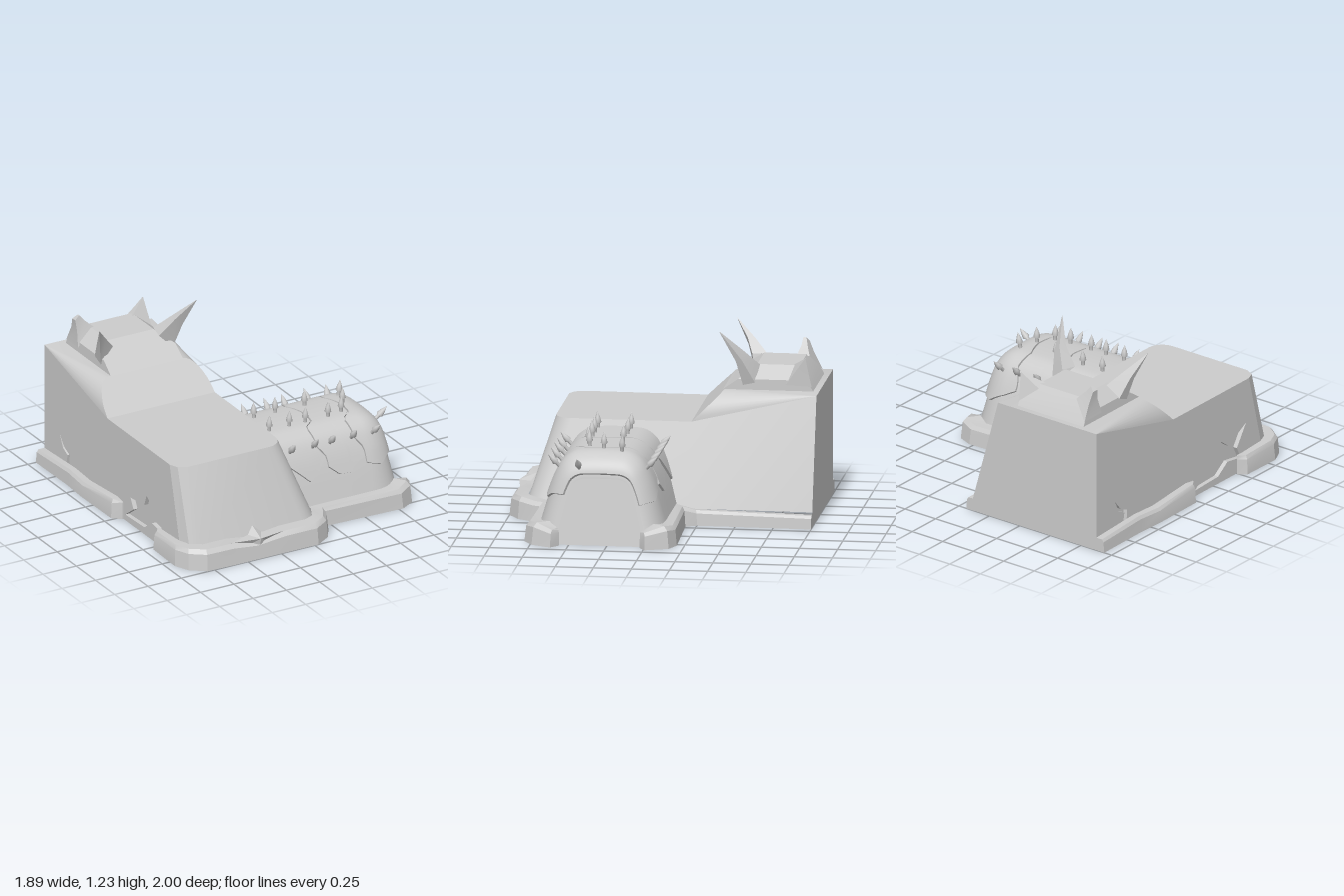
import * as THREE from 'three';
import { toCreasedNormals } from 'three/addons/utils/BufferGeometryUtils.js';

const material = new THREE.MeshStandardMaterial({ color: 0xcccccc, side: THREE.DoubleSide });
const V = (x, y, z) => new THREE.Vector3(x, y, z);
const lerp = THREE.MathUtils.lerp;

// Piecewise linear lookup in [[x, y], ...]
function lookup(table, x) {
  for (let i = 1; i < table.length; i++) {
    const [a, b] = [table[i - 1], table[i]];
    if (x <= b[0]) return lerp(a[1], b[1], (x - a[0]) / (b[0] - a[0]));
  }
  return table[table.length - 1][1];
}

function build(tris, crease = 0.6) {
  const g = new THREE.BufferGeometry().setFromPoints(tris);
  return toCreasedNormals(g, crease);
}
// Skin between rows of equal length
function skin(rows) {
  const t = [];
  for (let i = 0; i + 1 < rows.length; i++) {
    for (let j = 0; j + 1 < rows[i].length; j++) {
      const [a, b, c, d] = [rows[i][j], rows[i][j + 1], rows[i + 1][j + 1], rows[i + 1][j]];
      if (a.distanceTo(b) > 1e-6) t.push(a, b, c);
      if (c.distanceTo(d) > 1e-6) t.push(a, c, d);
    }
  }
  return t;
}
function fan(pts) {
  const t = [];
  for (let i = 1; i + 1 < pts.length; i++) t.push(pts[0], pts[i], pts[i + 1]);
  return t;
}

// Rounded wing hall: arch cross-section that rolls over into a smaller end arch
const half = [[0.41, 0.12], [0.355, 0.3], [0.305, 0.43], [0.25, 0.52], [0.18, 0.567], [0.09, 0.58]];
const halfEnd = [[0.29, 0], [0.235, 0.24], [0.205, 0.34], [0.175, 0.4], [0.13, 0.425], [0.06, 0.43]];
const archCurve = (h) => new THREE.CatmullRomCurve3(
  [...h.map(([w, y]) => V(0, y, w)), ...h.slice().reverse().map(([w, y]) => V(0, y, -w))]);
const fullArch = archCurve(half), endArch = archCurve(halfEnd);
const ROLL = 0.62, END = 0.8;
function wingPoint(s, i, off = 0) {
  const t = THREE.MathUtils.clamp(i / 11, 0, 1);
  const p = fullArch.getPoint(t), e = endArch.getPoint(t);
  let x = s;
  if (s > ROLL) {
    const a = Math.min((s - ROLL) / (END - ROLL), 1) * Math.PI / 2;
    p.lerp(e, 1 - Math.cos(a));
    x = lerp(ROLL, 0.85 - 0.16 * e.y, Math.sin(a)) + off * Math.sin(a);
  }
  return V(x, p.y * (1 + off * 1.8), 0.3 + p.z * (1 + off * 2.5));
}

// Crack lines across the wing and the ragged hem of its armour
const zig = [[0, 0.03], [1.8, 0.02], [2.4, -0.03], [4, -0.05], [4.6, 0.02], [5.5, 0.03], [6.5, -0.02], [8, 0], [9, -0.04], [11, -0.03]];
const plates = [
  { from: -0.05, to: 0.28, hem: [[0, 2.2], [0.6, 0.85], [0.78, 1.1], [1, 1.8]] },
  { from: 0.28, to: 0.56, hem: [[0, 1.3], [0.25, 0.9], [0.6, 0.87], [0.68, 1.1], [1, 1.4]] },
  { from: 0.56, to: 0.78, hem: [[0, 1.1], [0.4, 0.9], [0.6, 1.2], [1, 1.6]] },
];
function armourPlate({ from, to, hem }) {
  const rows = [], M = 18, N = 30, clamp = THREE.MathUtils.clamp;
  for (let m = -1; m <= M + 1; m++) {
    const u = clamp(m / M, 0, 1), row = [];
    for (let n = -1; n <= N + 1; n++) {
      const i = lerp(lookup(hem, u), 11 - lookup(hem, 1 - u), clamp(n / N, 0, 1));
      const a = from < 0 ? from : from + lookup(zig, i) + 0.006;
      const b = to > 0.7 ? to : to + lookup(zig, i) - 0.006;
      const rim = m < 0 || n < 0 || m > M || n > N;
      row.push(wingPoint(lerp(a, b, u), i, rim ? -0.004 : 0.014));
    }
    rows.push(row);
  }
  return build(skin(rows), 0.7);
}

// Plinth run: entries are [outer x, outer z, inner x, inner z, height]
function plinthRun(run) {
  const cols = run.map(([ox, oz, ix, iz, h]) => [
    V(ox, 0, oz), V(lerp(ox, ix, 0.1), h * 0.8, lerp(oz, iz, 0.1)),
    V(lerp(ox, ix, 0.3), h, lerp(oz, iz, 0.3)), V(ix, h, iz)]);
  const tris = skin(cols);
  for (const k of [0, run.length - 1]) {
    tris.push(...fan([...cols[k], V(run[k][2], 0, run[k][3])]));
  }
  return build(tris, 0.4);
}

// Curved horn from a base outline to a tip
function horn(base, tip, bend, tipSize = 0.02) {
  const c = base.reduce((s, p) => s.add(p), V(0, 0, 0)).divideScalar(base.length);
  const ring = (center, k) => {
    const r = base.map((p) => p.clone().sub(c).multiplyScalar(k).add(center));
    return [...r, r[0]];
  };
  const mid = c.clone().lerp(tip, 0.5).add(bend);
  return build([...skin([ring(c, 1), ring(mid, 0.5), ring(tip, tipSize)]), ...fan(ring(tip, tipSize))], 0.3);
}

export function createModel() {
  const model = new THREE.Group();
  const add = (name, geometry, parent = model) => {
    const mesh = new THREE.Mesh(geometry, material);
    mesh.name = name;
    parent.add(mesh);
    return mesh;
  };

  // Main hall walls: sloping front and right, rounded corners
  const low = [V(-0.875, 0.1, 0.76), V(-0.845, 0.1, 0.84), V(-0.78, 0.1, 0.885)];
  const top = [V(-0.875, 0.635, 0.63), V(-0.85, 0.635, 0.69), V(-0.79, 0.635, 0.72)];
  for (let k = 0; k <= 6; k++) {
    const a = (k / 6) * Math.PI / 2, s = Math.sin(a), c = Math.cos(a);
    low.push(V(-0.01 + 0.125 * s, 0.1, 0.76 + 0.125 * c));
    top.push(V(-0.18 + 0.11 * s, 0.635, 0.61 + 0.11 * c));
  }
  low.push(V(0.125, 0.1, -0.18), V(0.13, 0.1, -1));
  top.push(V(-0.07, 0.635, -0.18), V(-0.07, 0.83, -1));
  add('hallWalls', build(skin([low, top])));
  add('terrace', build(fan([V(-0.875, 0.635, -0.18), ...top.slice(0, -1)])));
  add('backWall', build(fan([V(-0.875, 0, -1), V(0.16, 0, -1), V(-0.07, 0.83, -1), V(-0.875, 0.83, -1)])));

  // Left wall with jagged fissures over a recessed backing
  const shape = (pts) => new THREE.Shape(pts.map(([x, y]) => new THREE.Vector2(x, y)));
  const wall = shape([[-1, 0], [0.79, 0], [0.63, 0.635], [-0.18, 0.635], [-1, 0.83]]);
  const fissures = [
    [[0.05, 0.04], [0.16, 0.12], [0.12, 0.19], [0.3, 0.21], [0.33, 0.29], [0.41, 0.23], [0.6, 0.33], [0.5, 0.18], [0.54, 0.1], [0.4, 0.12], [0.3, 0.05]],
    [[-0.72, 0.06], [-0.7, 0.16], [-0.76, 0.19], [-0.8, 0.27], [-0.74, 0.2], [-0.67, 0.17], [-0.68, 0.06]],
  ].map(shape);
  wall.holes.push(...fissures);
  const place = (g) => g.rotateY(-Math.PI / 2).translate(-0.845, 0, 0);
  add('leftWall', place(new THREE.ExtrudeGeometry(wall, { depth: 0.03, bevelEnabled: false })));
  add('fissureBacking', place(new THREE.ShapeGeometry(fissures)));

  // Raised rear roof: rounded front arch blending to square back corners
  const arch = [], back = [];
  for (const side of [-1, 1]) {
    for (let k = 0; k <= 8; k++) {
      const a = ((side < 0 ? k : 8 - k) / 8) * Math.PI / 2, h = Math.sin(a);
      arch.push(V(-0.4725 + side * (0.2725 + 0.13 * Math.cos(a)), 0.635 + 0.195 * h, -0.18 - 0.2 * h));
      back.push(V(side < 0 ? -0.875 : -0.07, 0.83, -1));
    }
  }
  add('roofSlope', build(fan(arch)));
  add('rearRoof', build(skin([arch, back]), 0.5));

  // Crown block on the rear roof
  const ring = (x0, x1, y, z0, z1) =>
    [V(x0, y, z0), V(x1, y, z0), V(x1, y, z1), V(x0, y, z1), V(x0, y, z0)];
  const crown = [ring(-0.74, -0.2, 0.83, -0.37, -0.96), ring(-0.735, -0.2, 0.9, -0.47, -0.92),
    ring(-0.64, -0.3, 0.98, -0.58, -0.86)];
  add('crown', build([...skin(crown), ...fan(crown[2].slice(0, 4))], 0.2));

  // Four horns at the crown corners
  add('frontRightHorn', horn([V(-0.74, 0.86, -0.5), V(-0.65, 0.97, -0.5), V(-0.65, 0.97, -0.6), V(-0.74, 0.89, -0.58)],
    V(-0.82, 1.165, -0.38), V(0.01, -0.01, -0.02)));
  add('frontLeftHorn', horn([V(-0.2, 0.86, -0.5), V(-0.31, 0.97, -0.49), V(-0.29, 0.98, -0.6), V(-0.19, 0.88, -0.58)],
    V(-0.105, 1.23, -0.36), V(0, -0.02, -0.03)));
  add('backRightHorn', horn([V(-0.75, 0.87, -0.78), V(-0.62, 0.98, -0.8), V(-0.62, 0.97, -0.88), V(-0.74, 0.86, -0.95)],
    V(-0.73, 1.06, -0.84), V(0, 0.01, 0), 0.25));
  add('backLeftHorn', horn([V(-0.19, 0.87, -0.78), V(-0.32, 0.98, -0.82), V(-0.32, 0.96, -0.89), V(-0.2, 0.86, -0.95)],
    V(-0.19, 1.05, -0.91), V(0, 0, 0)));

  // Wing hall with sloping end wall
  const stations = [-0.1, 0.2, 0.45];
  for (let k = 0; k <= 8; k++) stations.push(lerp(ROLL, END, k / 8));
  const sections = stations.map((s) => Array.from({ length: 45 }, (_, j) => wingPoint(s, j / 4)));
  add('wing', build(skin(sections), 0.7));
  add('wingEndWall', build(fan(sections[sections.length - 1])));
  plates.forEach((p) => add('armourPlate', armourPlate(p)));

  // Spikes set square to the armour, as [along the wing, around the arch]
  const spikeGeometry = new THREE.LatheGeometry([[0.013, -0.01], [0.013, 0.03], [0.023, 0.038], [0.016, 0.07], [0, 0.112]]
    .map(([r, y]) => new THREE.Vector2(r, y)), 8);
  const rowsOfSpikes = [
    [2.5, [0.05, 0.22, 0.35, 0.51, 0.65]],
    [4.7, [-0.01, 0.14, 0.26, 0.43]],
    [6.0, [0, 0.16, 0.38]],
    [8.5, [0.06, 0.23, 0.36, 0.53, 0.65]],
  ];
  const spots = rowsOfSpikes.flatMap(([i, xs]) => xs.map((x) => [x, i]));
  spots.push([0.54, 4.9], [0.61, 5.5], [0.64, 6.3], [0.75, 4.2]);
  const spikes = new THREE.Group();
  spikes.name = 'spikes';
  model.add(spikes);
  for (const [s, i] of spots) {
    const p = wingPoint(s, i, 0.012), d = 0.02;
    const along = wingPoint(s + d, i, 0.012).sub(p);
    const around = wingPoint(s, i + d, 0.012).sub(p);
    const n = around.cross(along).normalize();
    if (n.y < 0) n.negate();
    n.lerp(V(0, 1, 0), 0.3).normalize();
    const spike = add('spike', spikeGeometry, spikes);
    spike.position.copy(p);
    spike.quaternion.setFromUnitVectors(V(0, 1, 0), n);
  }

  // Broken plinth around the foot
  add('frontPlinth', plinthRun([
    [-0.885, 0.49, -0.875, 0.5, 0.13], [-0.94, 0.53, -0.875, 0.56, 0.13], [-0.945, 0.82, -0.875, 0.74, 0.14],
    [-0.9, 0.92, -0.845, 0.83, 0.14], [-0.8, 0.995, -0.77, 0.88, 0.14], [-0.6, 1, -0.6, 0.88, 0.14],
    [-0.42, 1, -0.42, 0.88, 0.115], [-0.2, 1, -0.2, 0.88, 0.14], [0.03, 1, 0, 0.88, 0.14],
    [0.14, 0.93, 0.06, 0.86, 0.145], [0.2, 0.83, 0.11, 0.76, 0.13], [0.22, 0.78, 0.13, 0.71, 0.13],
    [0.78, 0.8, 0.72, 0.69, 0.13], [0.88, 0.74, 0.8, 0.63, 0.145], [0.945, 0.61, 0.84, 0.58, 0.11],
    [0.88, 0.56, 0.84, 0.57, 0.1]]));
  add('backPlinth', plinthRun([
    [0.88, 0.03, 0.84, 0.03, 0.1], [0.945, -0.01, 0.84, 0.01, 0.11], [0.88, -0.16, 0.8, -0.05, 0.145],
    [0.78, -0.2, 0.72, -0.1, 0.13], [0.22, -0.18, 0.12, -0.1, 0.13], [0.18, -0.25, 0.12, -0.22, 0.1],
    [0.19, -1, 0.13, -1, 0.085]]));
  add('rightSidePlinth', plinthRun([
    [-0.94, -1, -0.875, -1, 0.09], [-0.935, -0.6, -0.875, -0.6, 0.11], [-0.945, -0.4, -0.875, -0.4, 0.1],
    [-0.94, -0.02, -0.875, -0.05, 0.13], [-0.885, 0.03, -0.875, 0.03, 0.12]]));

  // Faceted boss on the front of the plinth
  const boss = [V(-0.6, 0.14, 0.96), V(-0.45, 0.11, 0.97), V(-0.4, 0.075, 0.985), V(-0.35, 0.11, 0.97),
    V(-0.2, 0.14, 0.96), V(-0.35, 0.145, 0.91), V(-0.4, 0.19, 0.88), V(-0.45, 0.145, 0.91)];
  add('plinthBoss', build(boss.flatMap((p, k) => [p, boss[(k + 1) % 8], V(-0.4, 0.14, 0.995)]), 0.1));
  return model;
}
